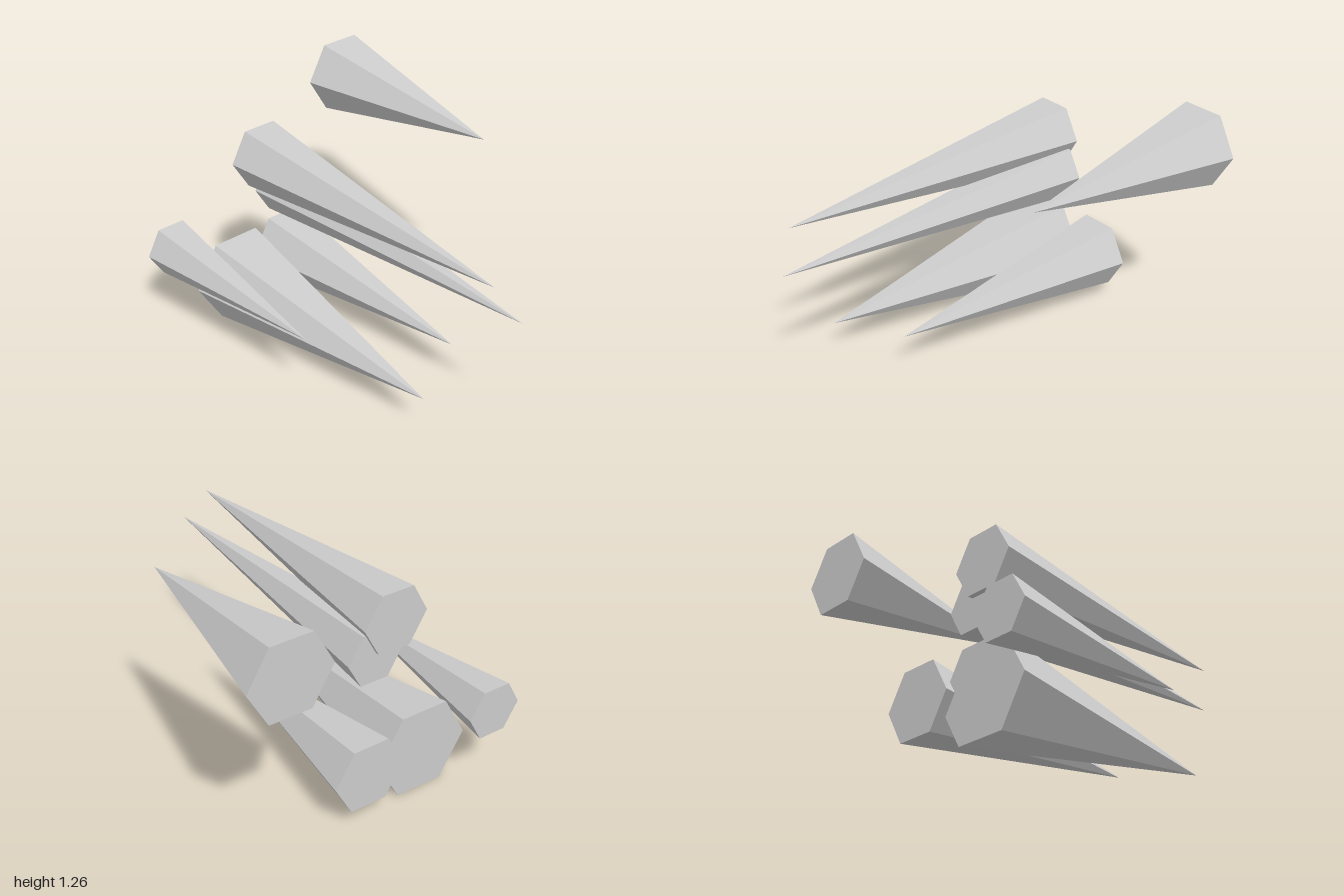
import * as THREE from 'three';

// Each spike: centre x, centre y, corner radius, back z, tip z
const SPIKES = [
  [0.555, 1.08, 0.216, -1.0, 0.10],
  [-0.21, 0.95, 0.179, -0.735, 0.90],
  [-0.125, 0.77, 0.156, -0.705, 1.0],
  [-0.625, 0.44, 0.151, -1.0, 0.11],
  [-0.34, 0.23, 0.263, -0.83, 0.615],
  [0.02, 0.266, 0.198, -0.885, 0.44],
];

export function createModel() {
  const group = new THREE.Group();
  group.name = 'spikeCluster';

  const grey = new THREE.MeshStandardMaterial({ color: 0xcccccc, flatShading: true });
  grey.name = 'paleGrey';

  // Six-sided cones with flat backs, all pointing forward
  SPIKES.forEach(([x, y, radius, back, tip], i) => {
    const geometry = new THREE.ConeGeometry(radius, tip - back, 6, 1, false, Math.PI / 6);
    geometry.rotateX(Math.PI / 2);
    const spike = new THREE.Mesh(geometry, grey);
    spike.name = `spike${i + 1}`;
    spike.position.set(x, y, (back + tip) / 2);
    group.add(spike);
  });

  return group;
}
